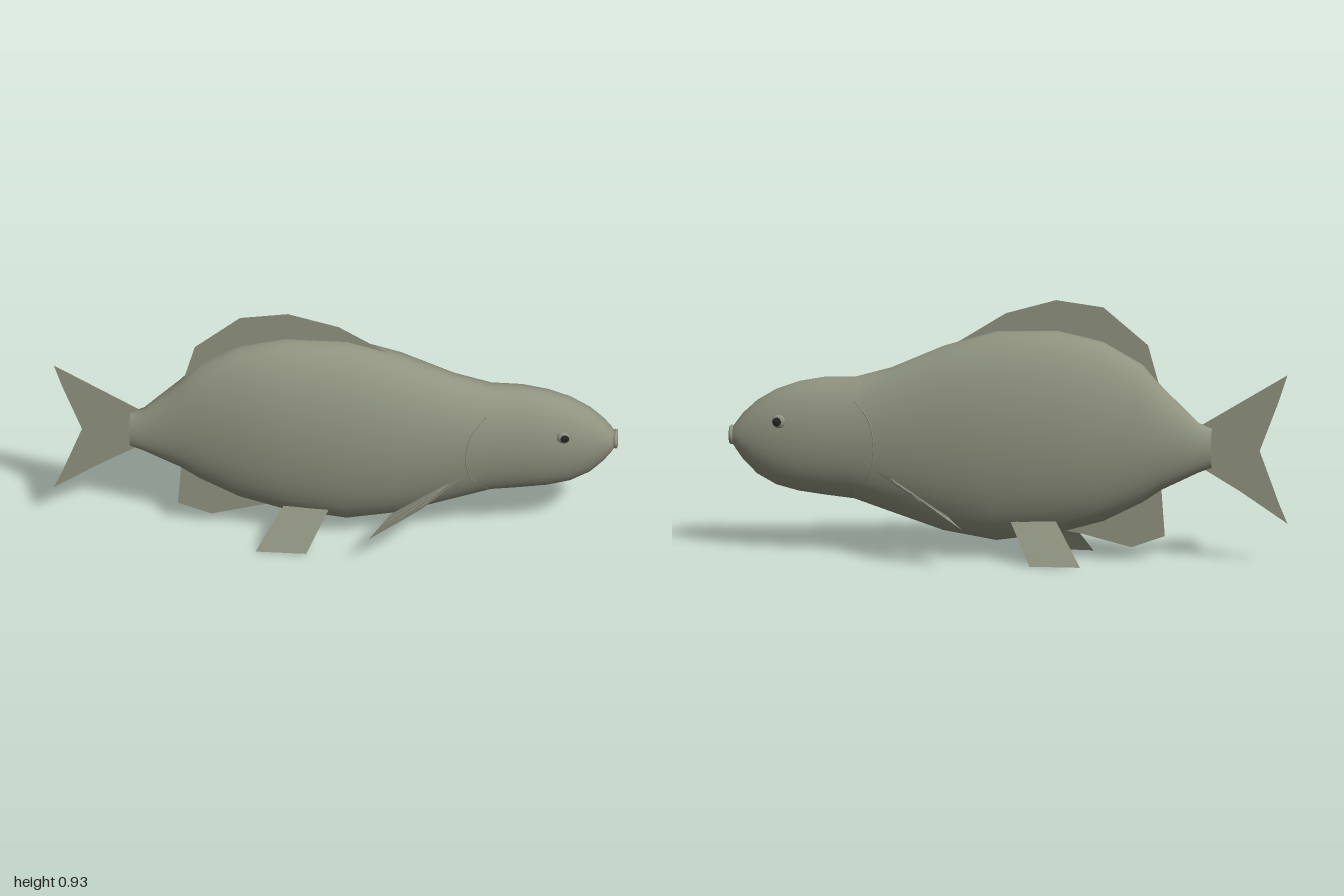
import * as THREE from 'three';

// Body cross-sections: x, top y, bottom y, half width
const SECTIONS = [
  [-0.73, 0.485, 0.345, 0.033], [-0.68, 0.505, 0.325, 0.043], [-0.55, 0.63, 0.26, 0.078],
  [-0.48, 0.71, 0.212, 0.098], [-0.34, 0.787, 0.14, 0.132], [-0.18, 0.822, 0.093, 0.158],
  [0.04, 0.815, 0.06, 0.165], [0.23, 0.757, 0.09, 0.151], [0.42, 0.672, 0.152, 0.127],
  [0.55, 0.634, 0.195, 0.115], [0.66, 0.63, 0.206, 0.11], [0.75, 0.612, 0.217, 0.103],
  [0.83, 0.583, 0.237, 0.092], [0.9, 0.54, 0.275, 0.075], [0.95, 0.493, 0.325, 0.055],
  [0.975, 0.46, 0.36, 0.042], [0.99, 0.437, 0.383, 0.027],
];

// Body half width at a given x and y
function surfaceZ(x, y) {
  let i = 0;
  while (i < SECTIONS.length - 2 && SECTIONS[i + 1][0] < x) i++;
  const a = SECTIONS[i], b = SECTIONS[i + 1], t = (x - a[0]) / (b[0] - a[0]);
  const [, top, bottom, w] = a.map((v, k) => v + (b[k] - v) * t);
  const d = (y - (top + bottom) / 2) / ((top - bottom) / 2);
  return w * Math.sqrt(Math.max(0, 1 - d * d));
}

function makeGeometry(positions, index) {
  const g = new THREE.BufferGeometry();
  g.setAttribute('position', new THREE.Float32BufferAttribute(positions, 3));
  g.setIndex(index);
  g.computeVertexNormals();
  return g;
}

// Loft through elliptical rings
function bodyGeometry(sides = 40) {
  const pos = [], index = [];
  SECTIONS.forEach(([x, top, bottom, w], i) => {
    for (let j = 0; j < sides; j++) {
      const a = (j / sides) * Math.PI * 2;
      pos.push(x, (top + bottom) / 2 + Math.cos(a) * (top - bottom) / 2, Math.sin(a) * w);
      if (i === SECTIONS.length - 1) continue;
      const p = i * sides + j, q = i * sides + (j + 1) % sides;
      index.push(p, q, p + sides, q, q + sides, p + sides);
    }
  });
  return makeGeometry(pos, index);
}

const flatFin = (pts) => new THREE.ShapeGeometry(new THREE.Shape(pts.map((p) => new THREE.Vector2(...p))));

// Four-cornered fin in space, mirrored by side
const quadFin = (pts, s) => makeGeometry(pts.flatMap(([x, y, z]) => [x, y, z * s]), [0, 1, 2, 0, 2, 3]);

export function createModel() {
  const fish = new THREE.Group();
  fish.name = 'fish';
  const skin = new THREE.MeshStandardMaterial({ color: 0x8f937f });
  skin.name = 'olive grey skin';
  skin.side = THREE.DoubleSide;
  const dark = new THREE.MeshStandardMaterial({ color: 0x252722 });
  dark.name = 'dark';

  const add = (name, geometry, material = skin) => {
    const m = new THREE.Mesh(geometry, material);
    m.name = name;
    fish.add(m);
    return m;
  };

  add('body', bodyGeometry());
  const cap = add('tailRootCap', new THREE.CircleGeometry(1, 40));
  cap.scale.set(0.033, 0.07, 1);
  cap.rotation.y = -Math.PI / 2;
  cap.position.set(-0.73, 0.415, 0);

  // Fins on the centre plane
  add('dorsalFin', flatFin([[-0.55, 0.6], [-0.5, 0.78], [-0.34, 0.912], [-0.17, 0.933],
    [0.01, 0.88], [0.16, 0.785], [0.25, 0.73], [0.04, 0.76], [-0.2, 0.76], [-0.4, 0.7]]));
  add('analFin', flatFin([[-0.545, 0.3], [-0.56, 0.092], [-0.44, 0.048], [-0.26, 0.092],
    [-0.14, 0.11], [-0.3, 0.2]]));
  add('tailFin', flatFin([[-0.68, 0.49], [-1, 0.687], [-0.97, 0.595], [-0.9, 0.41],
    [-0.97, 0.22], [-1, 0.15], [-0.83, 0.262], [-0.68, 0.35]]));

  // Mouth
  const lips = add('lips', new THREE.TorusGeometry(0.027, 0.008, 12, 32));
  lips.rotation.y = Math.PI / 2;
  lips.position.set(0.992, 0.412, 0);
  const mouth = add('mouth', new THREE.CircleGeometry(0.022, 24), dark);
  mouth.rotation.y = Math.PI / 2;
  mouth.position.set(0.993, 0.412, 0);

  for (const s of [1, -1]) {
    const side = s > 0 ? 'front' : 'back';

    // Eye with a dark pupil
    const eye = add(side + 'Eye', new THREE.SphereGeometry(0.024, 24, 16));
    eye.scale.z = 0.5;
    eye.position.set(0.81, 0.483, s * 0.096);
    const pupil = add(side + 'Pupil', new THREE.SphereGeometry(0.016, 20, 12), dark);
    pupil.scale.z = 0.4;
    pupil.position.set(0.814, 0.483, s * 0.104);

    // Gill crease following the body surface
    const gill = [[0.535, 0.56], [0.485, 0.5], [0.465, 0.4], [0.485, 0.3], [0.54, 0.232]]
      .map(([x, y]) => new THREE.Vector3(x, y, s * (surfaceZ(x, y) - 0.001)));
    add(side + 'GillEdge', new THREE.TubeGeometry(new THREE.CatmullRomCurve3(gill), 32, 0.003, 6));

    // Paired fins
    add(side + 'PelvicFin', quadFin([[-0.01, 0.17, 0.088], [-0.1, 0, 0.165],
      [-0.28, 0, 0.157], [-0.17, 0.17, 0.074]], s));
    add(side + 'PectoralFin', quadFin([[0.5, 0.335, 0.085], [0.31, 0.265, 0.245],
      [0.125, 0.145, 0.267], [0.2, 0.175, 0.155]], s));

    // Raised rays on the pectoral fin
    const root = new THREE.Vector3(0.4, 0.295, s * 0.135);
    [[0.28, 0.235, 0.23], [0.23, 0.205, 0.225], [0.19, 0.18, 0.205]].forEach(([x, y, z]) => {
      const ray = new THREE.LineCurve3(root, new THREE.Vector3(x, y, z * s));
      add(side + 'PectoralRay', new THREE.TubeGeometry(ray, 1, 0.002, 5));
    });
  }
  return fish;
}
